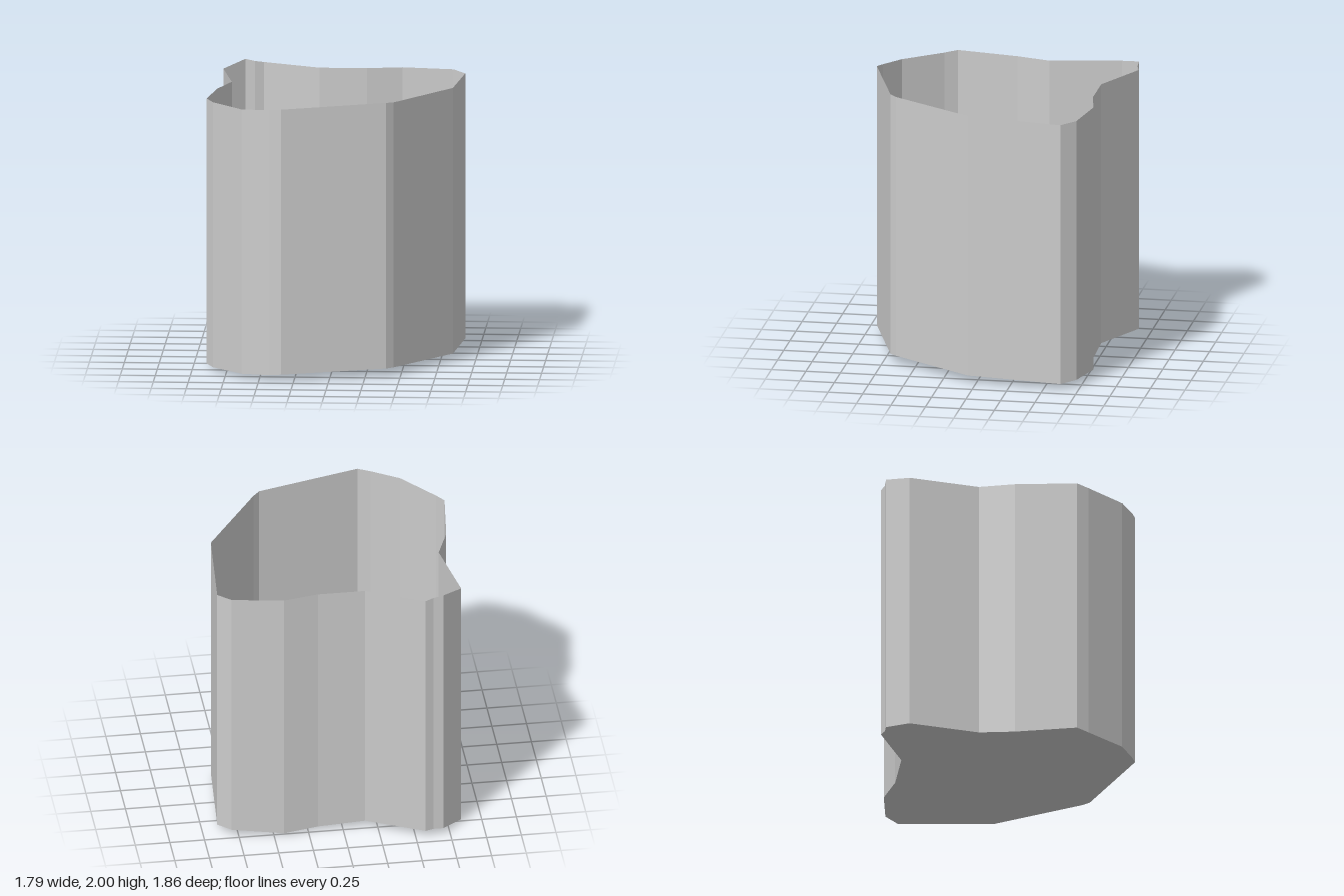
import * as THREE from 'three';

// Outline corners, anticlockwise seen from above: x, z, bottom y, top y
const OUTLINE = [
  [-0.34, 0.93, 0.05, 1.975], [0.4, 0.7, 0.06, 1.99], [0.45, 0.65, 0.06, 1.985],
  [0.84, 0.06, 0.055, 1.985], [0.89, -0.62, 0.04, 1.965], [0.8, -0.72, 0.05, 1.975],
  [0.43, -0.78, 0.025, 1.975], [0.18, -0.73, 0.03, 1.975], [-0.16, -0.73, 0.05, 1.975],
  [-0.57, -0.93, 0.05, 1.975], [-0.63, -0.91, 0.05, 1.985], [-0.7, -0.91, 0.05, 2],
  [-0.85, -0.76, 0.02, 1.955], [-0.76, -0.25, 0.02, 1.955], [-0.85, 0, 0, 1.95],
  [-0.9, 0.44, 0.035, 1.96], [-0.85, 0.53, 0.025, 1.95], [-0.63, 0.8, 0.03, 1.95],
  [-0.43, 0.9, 0.04, 1.965],
];
const FLOOR_CENTRE = [-0.13, 0.065, -0.08];

function meshFromTriangles(name, corners, material) {
  const geometry = new THREE.BufferGeometry();
  geometry.setAttribute('position', new THREE.Float32BufferAttribute(corners.flat(), 3));
  geometry.computeVertexNormals();
  const mesh = new THREE.Mesh(geometry, material);
  mesh.name = name;
  return mesh;
}

export function createModel() {
  const group = new THREE.Group();
  group.name = 'openVessel';
  const material = new THREE.MeshStandardMaterial({
    color: 0xcccccc, flatShading: true, side: THREE.DoubleSide,
  });

  const wall = [];
  const floor = [];
  OUTLINE.forEach(([x, z, low, high], i) => {
    const [nx, nz, nLow, nHigh] = OUTLINE[(i + 1) % OUTLINE.length];
    const a = [x, low, z], b = [nx, nLow, nz], c = [nx, nHigh, nz], d = [x, high, z];
    // One upright wall panel, facing outward
    wall.push(a, b, c, a, c, d);
    // One wedge of the floor, fanned from its centre
    floor.push(FLOOR_CENTRE, a, b);
  });

  group.add(meshFromTriangles('wall', wall, material));
  group.add(meshFromTriangles('floor', floor, material));
  return group;
}
